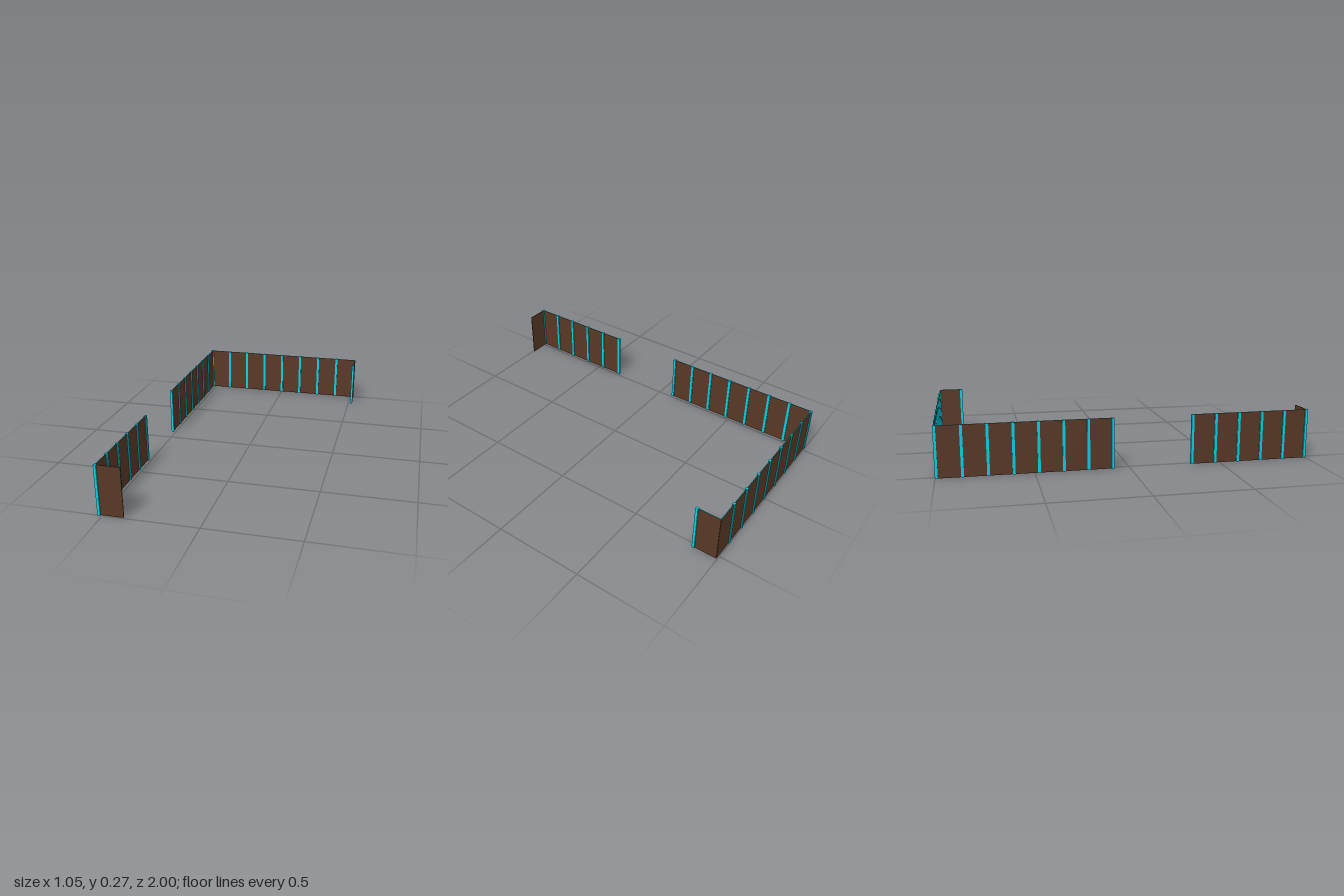
import * as THREE from 'three';

const HEIGHT = 0.273, POST = 0.0145, THICK = 0.004;

export function createModel() {
  const model = new THREE.Group();
  model.name = 'fence';
  const brown = new THREE.MeshStandardMaterial({ color: 0x583826 });
  brown.name = 'brownPanel';
  const teal = new THREE.MeshStandardMaterial({ color: 0x00d5e8 });
  teal.name = 'tealPost';

  const postGeometry = new THREE.BoxGeometry(POST, HEIGHT, POST);
  // Panels with teal top and bottom edges
  const edged = [brown, brown, teal, teal, brown, brown];

  // A straight run of panels from a to b, with posts at joints firstPost to lastPost
  function run(name, a, b, count, firstPost, lastPost, panelMaterial) {
    const group = new THREE.Group();
    group.name = name;
    const dx = (b[0] - a[0]) / count, dz = (b[1] - a[1]) / count;
    const panelGeometry = new THREE.BoxGeometry(Math.hypot(dx, dz), HEIGHT - 0.001, THICK);
    for (let i = 0; i < count; i++) {
      const panel = new THREE.Mesh(panelGeometry, panelMaterial);
      panel.name = 'panel';
      panel.position.set(a[0] + dx * (i + 0.5), HEIGHT / 2, a[1] + dz * (i + 0.5));
      panel.rotation.y = Math.atan2(-dz, dx);
      group.add(panel);
    }
    for (let i = firstPost; i <= lastPost; i++) {
      const post = new THREE.Mesh(postGeometry, teal);
      post.name = 'post';
      post.position.set(a[0] + dx * i, HEIGHT / 2, a[1] + dz * i);
      group.add(post);
    }
    model.add(group);
  }

  const X = 0.519, Z = 0.993;
  run('backFence', [-X, -Z], [X, -Z], 8, 0, 7, edged);
  run('backReturn', [X, -Z], [X, -0.864], 1, 1, 1, edged);
  run('rightRearFence', [-X, -Z], [-X, -0.09], 7, 1, 7, edged);
  run('rightFrontFence', [-X, 0.343], [-X, Z], 5, 0, 5, edged);
  run('frontReturn', [-X, Z], [-0.389, Z], 1, 1, 0, brown);

  return model;
}
